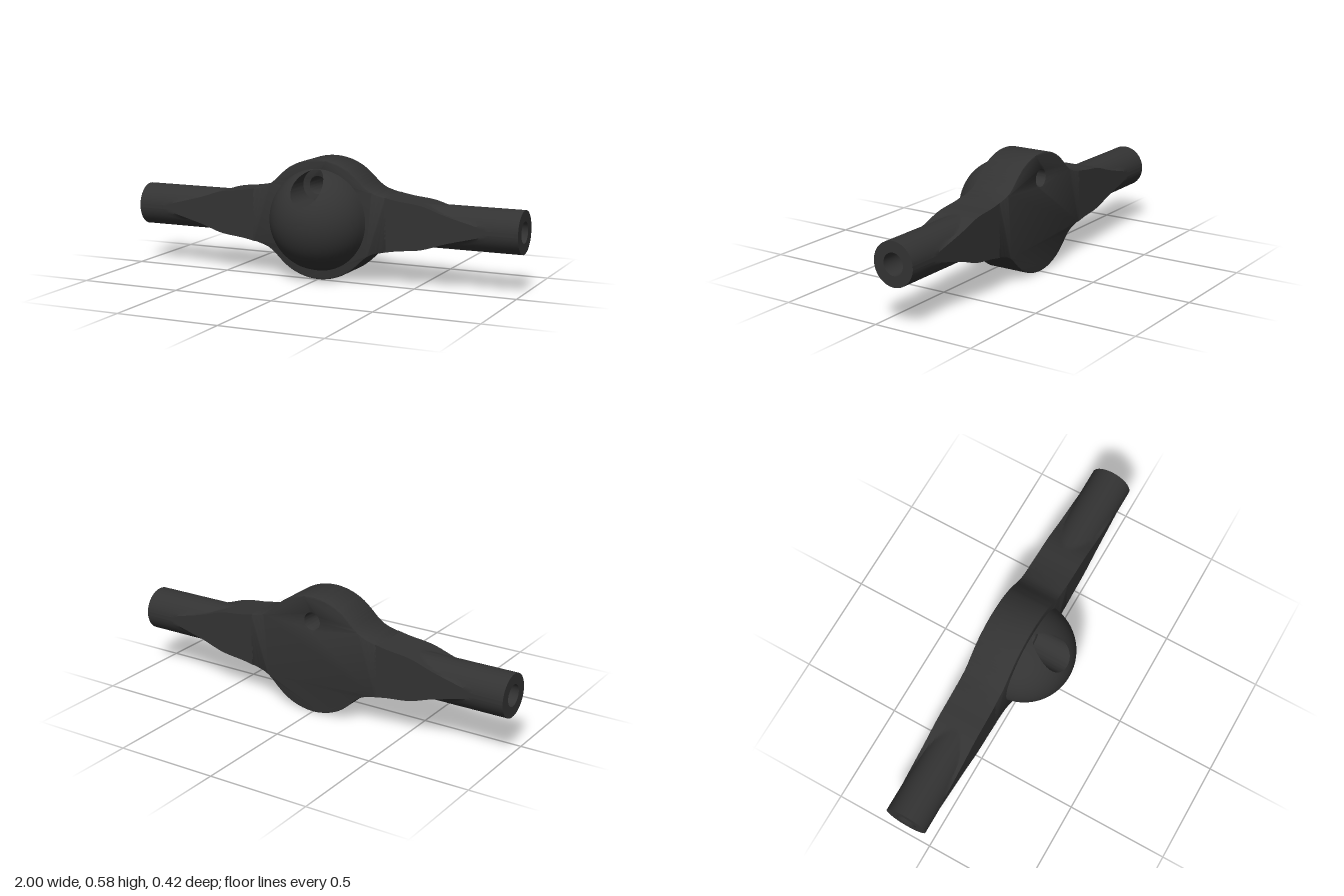
import * as THREE from 'three';
import { toCreasedNormals } from 'three/addons/utils/BufferGeometryUtils.js';

const T = 0.104;        // tube radius and half the plate thickness
const AXIS = 0.293;     // height of the tube axis
const HUB = 0.292;      // hub radius
const HOLE_Y = 0.17;    // screw hole, measured up from the axis

// Surface from a grid of points fn(i, j)
function grid(nu, nv, fn) {
  const pos = [], idx = [];
  for (let i = 0; i <= nu; i++) for (let j = 0; j <= nv; j++) pos.push(...fn(i, j));
  for (let i = 0; i < nu; i++) for (let j = 0; j < nv; j++) {
    const a = i * (nv + 1) + j, b = a + nv + 1;
    idx.push(a, a + 1, b, a + 1, b + 1, b);
  }
  const g = new THREE.BufferGeometry();
  g.setAttribute('position', new THREE.Float32BufferAttribute(pos, 3));
  g.setIndex(idx);
  return toCreasedNormals(g, 0.5);
}

// Half-height of the plate as it sweeps from the hub to the tube
const flare = new THREE.SplineCurve([
  [0.17, 0.237], [0.2, 0.212], [0.25, 0.167], [0.3, 0.143], [0.4, 0.121],
  [0.53, 0.104], [0.65, 0.066], [0.8, 0.027], [0.9, 0],
].map(p => new THREE.Vector2(...p))).getPoints(64);

// Hub plate with the screw hole; its ends stay open for the bore
function hubGeometry() {
  const bevel = 0.006;
  const side = flare.filter(p => p.x < 0.36);
  const top = [];
  for (const p of [...side].reverse()) top.push(new THREE.Vector2(p.x, p.y));
  const a0 = Math.acos(0.17 / HUB);
  for (let i = 1; i < 24; i++) {
    const a = a0 + (Math.PI - 2 * a0) * i / 24;
    top.push(new THREE.Vector2(HUB * Math.cos(a), HUB * Math.sin(a)));
  }
  for (const p of side) top.push(new THREE.Vector2(-p.x, p.y));
  const shape = new THREE.Shape([...top, ...top.map(p => new THREE.Vector2(-p.x, -p.y))]);
  shape.holes.push(new THREE.Path().absarc(0, HOLE_Y, 0.042, 0, Math.PI * 2, true));
  const g = new THREE.ExtrudeGeometry(shape, {
    depth: 2 * T - 2 * bevel, bevelSize: bevel, bevelThickness: bevel,
    bevelOffset: -bevel, bevelSegments: 2, curveSegments: 24,
  }).translate(0, 0, bevel - 2 * T);
  const src = g.attributes.position, end = side[side.length - 1].x - 0.008, keep = [];
  for (let i = 0; i < src.count; i += 3) {
    const ends = [0, 1, 2].every(k => Math.abs(src.getX(i + k)) > end);
    if (!ends) for (let k = 0; k < 3; k++) keep.push(src.getX(i + k), src.getY(i + k), src.getZ(i + k));
  }
  const out = new THREE.BufferGeometry();
  out.setAttribute('position', new THREE.Float32BufferAttribute(keep, 3));
  return toCreasedNormals(out, 0.6);
}

// Arm: at each station, the union of the round tube and the tapering plate
function armGeometry() {
  const stations = [...flare.filter(p => p.x > 0.335), new THREE.Vector2(1, 0)];
  const k = 10;
  return grid(stations.length - 1, 8 * k, (i, j) => {
    const { x } = stations[i], h = Math.max(stations[i].y, 0);
    const c = Math.min(Math.atan2(T, h), 1.4);
    const q = Math.floor(j / (2 * k)), m = j % (2 * k);
    const corner = q % 2 ? Math.PI / 2 - c : c;
    const local = m <= k ? corner * m / k : corner + (Math.PI / 2 - corner) * (m - k) / k;
    const a = q * Math.PI / 2 + local;
    const rect = Math.min(T / Math.max(Math.abs(Math.sin(a)), 1e-6), h / Math.max(Math.abs(Math.cos(a)), 1e-6));
    const r = Math.max(T, rect);
    return [x, r * Math.cos(a), r * Math.sin(a)];
  });
}

export function createModel() {
  const model = new THREE.Group();
  const material = new THREE.MeshStandardMaterial({ color: 0x333333, side: THREE.DoubleSide });
  const add = (name, geometry, parent = model) => {
    const mesh = new THREE.Mesh(geometry, material);
    mesh.name = name;
    parent.add(mesh);
    return mesh;
  };

  add('hubPlate', hubGeometry()).position.y = AXIS;

  // Domed boss, cut by a round pocket near its upper rim
  const R = 0.2514, sink = 0.0414, rim = 0.248, pocket = 0.077;
  const height = (x, y) => Math.max(0, Math.sqrt(Math.max(0, R * R - x * x - y * y)) - sink);
  const N = 72;
  const dir = i => [Math.cos(i / N * Math.PI * 2), Math.sin(i / N * Math.PI * 2)];
  add('dome', grid(N, 24, (i, j) => {
    const [c, s] = dir(i), t = j / 24;
    const r = pocket + (rim - pocket) * t;
    const x = r * c, y = HOLE_Y * (1 - t) + r * s;
    return [x, y, height(x, y)];
  })).position.y = AXIS;
  add('pocketWall', grid(N, 1, (i, j) => {
    const [c, s] = dir(i), x = pocket * c, y = HOLE_Y + pocket * s;
    return [x, y, j ? height(x, y) : 0];
  })).position.y = AXIS;

  // Mirrored arms with ring-shaped ends
  const armShape = armGeometry();
  for (const [name, turn] of [['leftArm', 0], ['rightArm', Math.PI]]) {
    const arm = new THREE.Group();
    arm.name = name;
    arm.position.set(0, AXIS, -T);
    arm.rotation.y = turn;
    add('armBody', armShape, arm);
    add('armEnd', new THREE.RingGeometry(0.052, T, 48).rotateY(Math.PI / 2).translate(1, 0, 0), arm);
    model.add(arm);
  }

  // Bore running the full length
  add('bore', new THREE.CylinderGeometry(0.052, 0.052, 2, 48, 1, true).rotateZ(Math.PI / 2))
    .position.set(0, AXIS, -T);

  return model;
}
